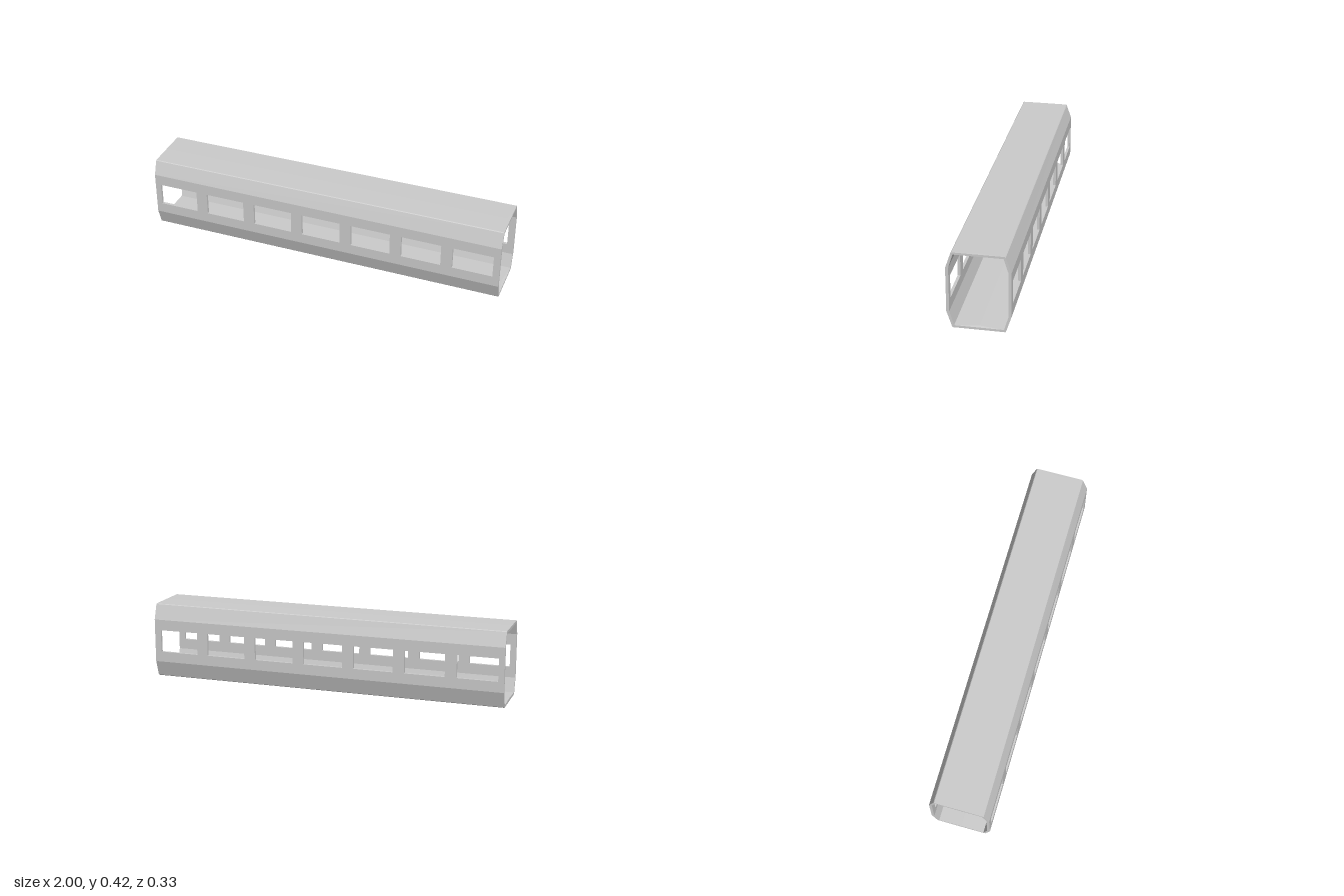
import * as THREE from 'three';

const LENGTH = 2, SILL = 0.09, EAVE = 0.333;   // side walls run from SILL to EAVE
const OUT = 0.163, WALL = 0.015;               // half width and shell thickness

const material = new THREE.MeshStandardMaterial({ color: 0xcccccc, flatShading: true, side: THREE.DoubleSide });

// Mirrors half a section [z, y] (outer edge inwards to the centre line, then back along the inside)
function sectionShape(outer, inner) {
  const mirror = (pts) => pts.slice(0, -1).reverse().map(([z, y]) => [-z, y]);
  const loop = [
    ...outer, ...mirror(outer),
    ...[...inner].map(([z, y]) => [-z, y]), ...mirror(inner).map(([z, y]) => [z * -1, y]).map(([z, y]) => [Math.abs(z), y]),
  ];
  return new THREE.Shape(loop.map(([z, y]) => new THREE.Vector2(z, y)));
}

// Runs a section along the body, with a shallow V cut into its +x end
function shell(name, outer, inner) {
  const geo = new THREE.ExtrudeGeometry(sectionShape(outer, inner), { depth: LENGTH, bevelEnabled: false });
  geo.rotateY(Math.PI / 2).translate(-LENGTH / 2, 0, 0);
  const p = geo.attributes.position;
  for (let i = 0; i < p.count; i++) {
    if (p.getX(i) > 0 && Math.abs(p.getZ(i)) < 0.01) p.setX(i, 0.985);
    // the roof drops a touch towards the -x end
    if (p.getX(i) < 0 && p.getY(i) > 0.36) p.setY(i, p.getY(i) - 0.006);
  }
  geo.computeVertexNormals();
  const mesh = new THREE.Mesh(geo, material);
  mesh.name = name;
  return mesh;
}

// Flat side wall with a row of seven window openings
function sideWall(name, z) {
  const rect = (T, x0, y0, x1, y1) => new T([[x0, y0], [x1, y0], [x1, y1], [x0, y1]].map(([x, y]) => new THREE.Vector2(x, y)));
  const shape = rect(THREE.Shape, -1, SILL, 1, EAVE);
  for (let i = -3; i <= 3; i++) {
    const x = -0.002 + i * 0.285;
    shape.holes.push(rect(THREE.Path, x - 0.111, 0.148, x + 0.111, 0.273));
  }
  const geo = new THREE.ExtrudeGeometry(shape, { depth: WALL, bevelEnabled: false });
  const mesh = new THREE.Mesh(geo, material);
  mesh.position.z = z;
  mesh.name = name;
  return mesh;
}

export function createModel() {
  const group = new THREE.Group();
  group.name = 'carriageBody';
  group.add(
    // roof with its two sloping shoulders
    shell('roof',
      [[OUT, EAVE], [0.135, 0.416], [0.131, 0.4195], [0, 0.42]],
      [[OUT - WALL, EAVE], [0.125, 0.408], [0, 0.404]]),
    // floor with its two sloping skirts
    shell('floor',
      [[OUT, SILL], [0.135, 0.004], [0.131, 0.0005], [0, 0]],
      [[OUT - WALL, SILL], [0.125, 0.013], [0, 0.016]]),
    sideWall('frontWall', OUT - WALL),
    sideWall('backWall', -OUT),
  );
  return group;
}
